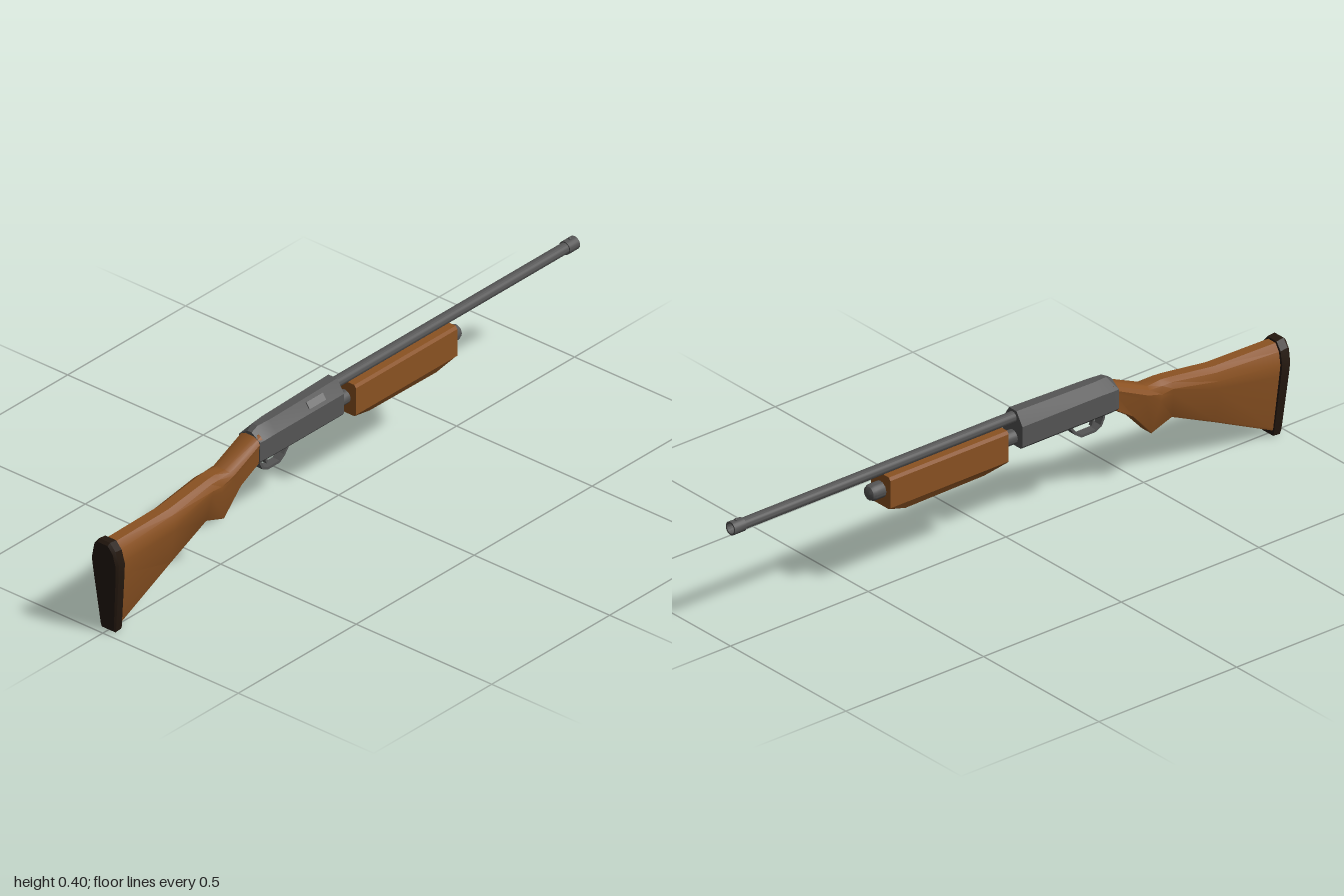
import * as THREE from 'three';
import { toCreasedNormals } from 'three/addons/utils/BufferGeometryUtils.js';

const WOOD = 0x8b5222, METAL = 0x555555, RUBBER = 0x24180f, STEEL = 0x777777;

const material = (color, open) => new THREE.MeshStandardMaterial({
  color, side: open ? THREE.DoubleSide : THREE.FrontSide,
});

function add(group, name, geometry, color, open = false) {
  const mesh = new THREE.Mesh(geometry, material(color, open));
  mesh.name = name;
  group.add(mesh);
  return mesh;
}

// Skins half sections (lists of [x, y, z] from top to bottom), mirrored in z, running along +x
function loft(halves, crease = 0.4) {
  const rings = halves.map(h => [...h, ...h.slice().reverse().map(([x, y, z]) => [x, y, -z])]);
  const n = rings[0].length, index = [];
  for (let i = 0; i < rings.length - 1; i++) {
    for (let j = 0; j < n; j++) {
      const k = (j + 1) % n;
      const a = i * n + j, b = i * n + k, c = a + n, d = b + n;
      index.push(a, b, d, a, d, c);
    }
  }
  const last = (rings.length - 1) * n;
  for (let j = 1; j < n - 1; j++) index.push(0, j + 1, j, last, last + j, last + j + 1);
  const geometry = new THREE.BufferGeometry();
  geometry.setAttribute('position', new THREE.Float32BufferAttribute(rings.flat(2), 3));
  geometry.setIndex(index);
  return toCreasedNormals(geometry, crease);
}

// Turned part along x from [x, radius] points
function turned(points, y) {
  const geometry = new THREE.LatheGeometry(points.map(([x, r]) => new THREE.Vector2(r, x)), 20);
  geometry.rotateZ(-Math.PI / 2);
  geometry.translate(0, y, 0);
  return toCreasedNormals(geometry, 0.6);
}

// Leaning stock section: narrow top, wide shoulder, tapering to the belly
function stockSection([xTop, xBottom, yTop, yBottom, wTop, wMid, wBottom]) {
  return [[0, wTop], [0.08, wTop + (wMid - wTop) * 0.65], [0.22, wMid],
    [0.36, wMid * 0.93], [0.97, wBottom], [1, wBottom * 0.9]].map(([t, w]) =>
    [THREE.MathUtils.lerp(xTop, xBottom, t), THREE.MathUtils.lerp(yTop, yBottom, t), w]);
}

// Flat strip of given width following an outline in the xy plane
function strip(points, thickness, width) {
  const half = points.map(([x, y], i) => {
    const [ax, ay] = points[Math.max(i - 1, 0)];
    const [bx, by] = points[Math.min(i + 1, points.length - 1)];
    const l = Math.hypot(bx - ax, by - ay);
    const nx = -(by - ay) / l * thickness / 2, ny = (bx - ax) / l * thickness / 2;
    return [[x + nx, y + ny], [x - nx, y - ny]];
  });
  const outline = [...half.map(h => h[0]), ...half.map(h => h[1]).reverse()];
  const shape = new THREE.Shape(outline.map(([x, y]) => new THREE.Vector2(x, y)));
  const geometry = new THREE.ExtrudeGeometry(shape, { depth: width, bevelEnabled: false });
  geometry.translate(0, 0, -width / 2);
  return geometry;
}

export function createModel() {
  const group = new THREE.Group();

  // Stock with pistol grip
  add(group, 'stock', loft([
    [-0.975, -0.955, 0.287, 0.015, 0.016, 0.041, 0.023],
    [-0.74, -0.74, 0.291, 0.116, 0.016, 0.040, 0.023],
    [-0.575, -0.585, 0.313, 0.186, 0.016, 0.039, 0.023],
    [-0.545, -0.51, 0.315, 0.160, 0.016, 0.038, 0.023],
    [-0.50, -0.44, 0.311, 0.236, 0.016, 0.038, 0.025],
    [-0.365, -0.365, 0.370, 0.288, 0.016, 0.039, 0.034],
  ].map(stockSection), 0.5), WOOD);

  // Rubber butt pad
  add(group, 'buttPad', loft([
    [-1.0, -0.98, 0.288, 0.006, 0.018, 0.044, 0.024],
    [-0.992, -0.974, 0.296, 0, 0.020, 0.049, 0.027],
    [-0.966, -0.95, 0.293, 0.002, 0.020, 0.049, 0.027],
  ].map(stockSection)), RUBBER);

  // Receiver with sloped upper sides
  add(group, 'receiver', loft([
    [-0.378, 0.374, 0.008, 0.352, 0.039],
    [-0.355, 0.387, 0.010, 0.353, 0.041],
    [-0.31, 0.388, 0.014, 0.355, 0.042],
    [-0.025, 0.395, 0.016, 0.355, 0.042],
  ].map(([x, top, wTop, shoulder, w]) =>
    [[x, top, wTop], [x, shoulder, w], [x, 0.292, w], [x, 0.284, w - 0.007]])), METAL);

  // Ejection port on the sloped left-hand facet
  const port = add(group, 'ejectionPort', new THREE.BoxGeometry(0.07, 0.004, 0.022), STEEL);
  port.position.set(-0.13, 0.3735, 0.029);
  port.rotation.x = 0.99;

  // Hollow barrel with muzzle ring and sight bead
  add(group, 'barrel', turned([
    [-0.04, 0.017], [0.958, 0.017], [0.958, 0.0205], [1, 0.0205],
    [1, 0.0155], [0.96, 0.0155], [0.96, 0],
  ], 0.371), METAL, true);
  const bead = add(group, 'frontSight', new THREE.SphereGeometry(0.005, 10, 8), METAL);
  bead.position.set(0.98, 0.392, 0);

  // Magazine tube with rounded cap
  add(group, 'magazineTube', turned([
    [-0.04, 0.022], [0.452, 0.022], [0.454, 0.025], [0.488, 0.025],
    [0.498, 0.021], [0.504, 0.012], [0.506, 0],
  ], 0.309), METAL);

  // Sliding fore-end with a deeper belly in the middle
  add(group, 'foreEnd', loft([
    [0.025, 0.258, 0.036], [0.10, 0.239, 0.026], [0.385, 0.235, 0.025], [0.455, 0.259, 0.036],
  ].map(([x, belly, w]) =>
    [[x, 0.359, 0.036], [x, 0.350, 0.042], [x, 0.264, 0.042], [x, belly, w]]), 0.3), WOOD);

  // Trigger guard and trigger
  add(group, 'triggerGuard', strip([
    [-0.348, 0.29], [-0.345, 0.262], [-0.335, 0.242], [-0.315, 0.232],
    [-0.265, 0.232], [-0.245, 0.246], [-0.21, 0.29],
  ], 0.008, 0.026), METAL);
  add(group, 'trigger', strip([
    [-0.302, 0.29], [-0.311, 0.272], [-0.314, 0.258], [-0.309, 0.246],
  ], 0.008, 0.012), METAL);

  return group;
}
